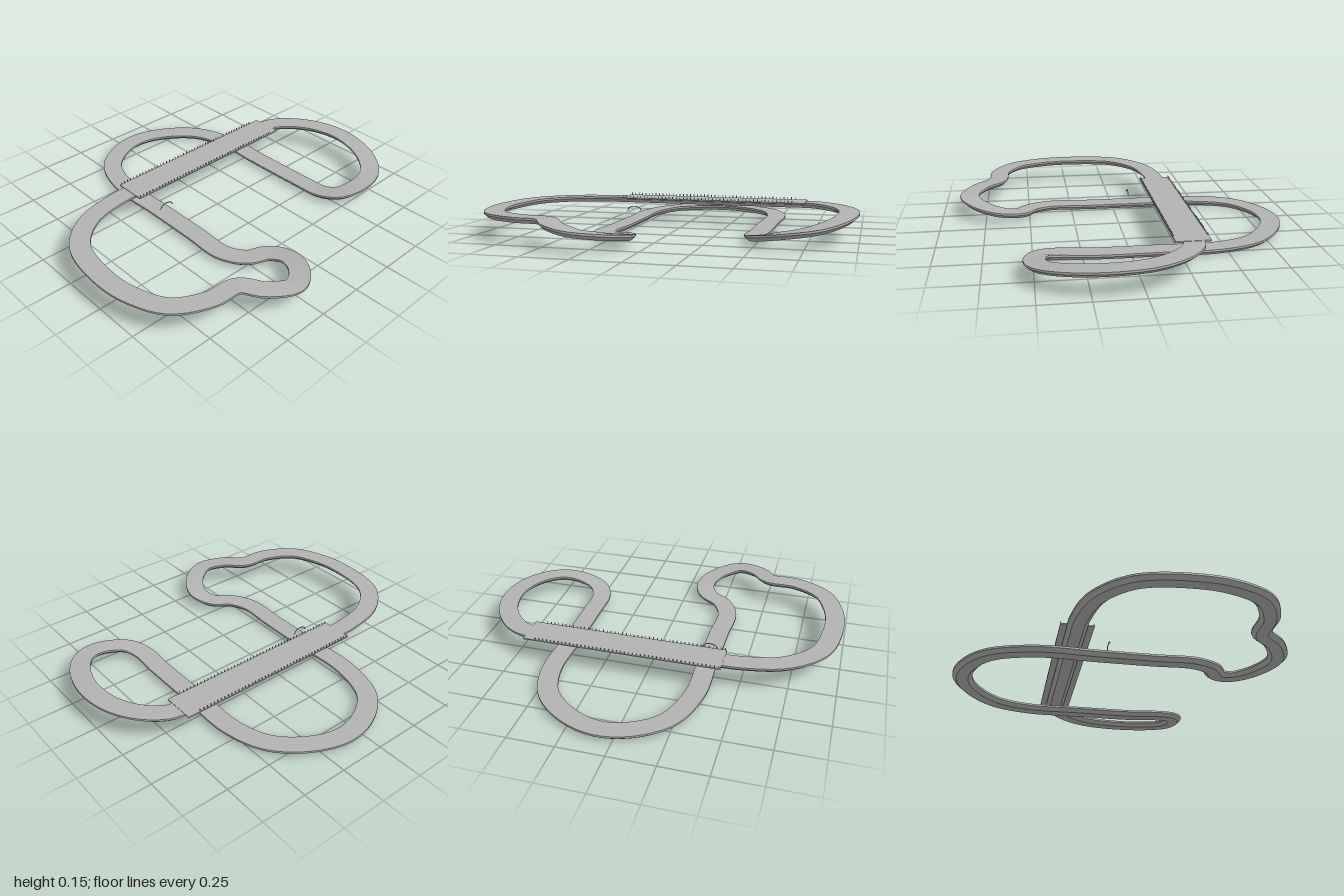
import * as THREE from 'three';

const LOW = 0.032, HIGH = 0.139, BRIDGE_X = -0.274;

// Centreline of the road: x, road height, z
const ROUTE = [
  [BRIDGE_X, HIGH, 0.35], [BRIDGE_X, HIGH, 0], [BRIDGE_X, HIGH, -0.35], [BRIDGE_X, HIGH, -0.6],
  [-0.27, HIGH, -0.72], [-0.19, HIGH, -0.83], [-0.047, HIGH, -0.916], [0.137, 0.137, -0.942],
  [0.338, 0.122, -0.89], [0.464, 0.102, -0.79], [0.496, 0.086, -0.683], [0.455, 0.06, -0.541],
  [0.36, 0.043, -0.49], [0.2, 0.034, -0.49], [-0.15, LOW, -0.49], [-0.45, LOW, -0.49],
  [-0.655, LOW, -0.42], [-0.795, LOW, -0.26], [-0.849, LOW, -0.09], [-0.815, LOW, 0.07],
  [-0.7, LOW, 0.22], [-0.46, LOW, 0.3], [-0.15, LOW, 0.3], [0.15, LOW, 0.302],
  [0.37, 0.034, 0.305], [0.485, 0.04, 0.245], [0.545, 0.05, 0.15], [0.644, 0.065, 0.113],
  [0.765, 0.085, 0.165], [0.846, 0.108, 0.293], [0.785, 0.125, 0.425], [0.685, 0.136, 0.51],
  [0.668, HIGH, 0.67], [0.575, HIGH, 0.836], [0.42, HIGH, 0.912], [0.235, HIGH, 0.938],
  [-0.06, HIGH, 0.885], [-0.215, HIGH, 0.72], [-0.27, HIGH, 0.5],
];

// Cross-section: flat road, short upright edge, undercut sides, flat underside
const SECTION = [
  [-0.054, 0], [0.054, 0], [0.054, -0.011], [0.032, -0.031], [-0.032, -0.031], [-0.054, -0.011],
];

// Sweeps the section along the closed route, always level across the road
function roadGeometry(segments) {
  const curve = new THREE.CatmullRomCurve3(
    ROUTE.map((p) => new THREE.Vector3(...p)), true, 'centripetal');
  const position = [], index = [];
  const rows = [];
  for (let i = 0; i < segments; i++) {
    const p = curve.getPointAt(i / segments);
    const t = curve.getTangentAt(i / segments);
    const side = new THREE.Vector3(t.z, 0, -t.x).normalize();
    rows.push(SECTION.map(([s, y]) => [p.x + side.x * s, p.y + y, p.z + side.z * s]));
  }
  // Each side of the section has its own vertices, so its edges stay sharp
  SECTION.forEach((_, k) => {
    const base = position.length / 3;
    rows.forEach((row) => position.push(...row[k], ...row[(k + 1) % SECTION.length]));
    for (let i = 0; i < segments; i++) {
      const a = base + 2 * i, c = base + 2 * ((i + 1) % segments);
      index.push(a, c, a + 1, a + 1, c, c + 1);
    }
  });
  const geometry = new THREE.BufferGeometry();
  geometry.setAttribute('position', new THREE.Float32BufferAttribute(position, 3));
  geometry.setIndex(index);
  geometry.computeVertexNormals();
  return geometry;
}

export function createModel() {
  const group = new THREE.Group();
  const grey = new THREE.MeshStandardMaterial({ color: 0xb2b2b2 });
  grey.name = 'track grey';

  const add = (name, geometry, x = 0, y = 0, z = 0, parent = group) => {
    const mesh = new THREE.Mesh(geometry, grey);
    mesh.name = name;
    mesh.position.set(x, y, z);
    parent.add(mesh);
    return mesh;
  };

  add('road', roadGeometry(320));

  // Wide deck over the crossing
  add('bridgeDeck', new THREE.BoxGeometry(0.179, 0.007, 1.092), BRIDGE_X, 0.1375, -0.137);

  // Small posts along both edges of the deck
  const post = new THREE.BoxGeometry(0.003, 0.013, 0.004);
  for (const side of [-1, 1]) {
    const railing = new THREE.Group();
    railing.name = side > 0 ? 'leftRailing' : 'rightRailing';
    for (let i = 0; i < 47; i++) {
      add('railingPost', post, BRIDGE_X + side * 0.087, 0.147, 0.4 - i * 0.022, railing);
    }
    group.add(railing);
  }

  // Thin hoop above the lower straight
  const hoop = new THREE.CatmullRomCurve3([
    [0.078, 0.34], [0.095, 0.33], [0.104, 0.298], [0.095, 0.266], [0.078, 0.256],
  ].map(([y, z]) => new THREE.Vector3(-0.092, y, z)));
  add('startHoop', new THREE.TubeGeometry(hoop, 20, 0.0025, 6));

  return group;
}
